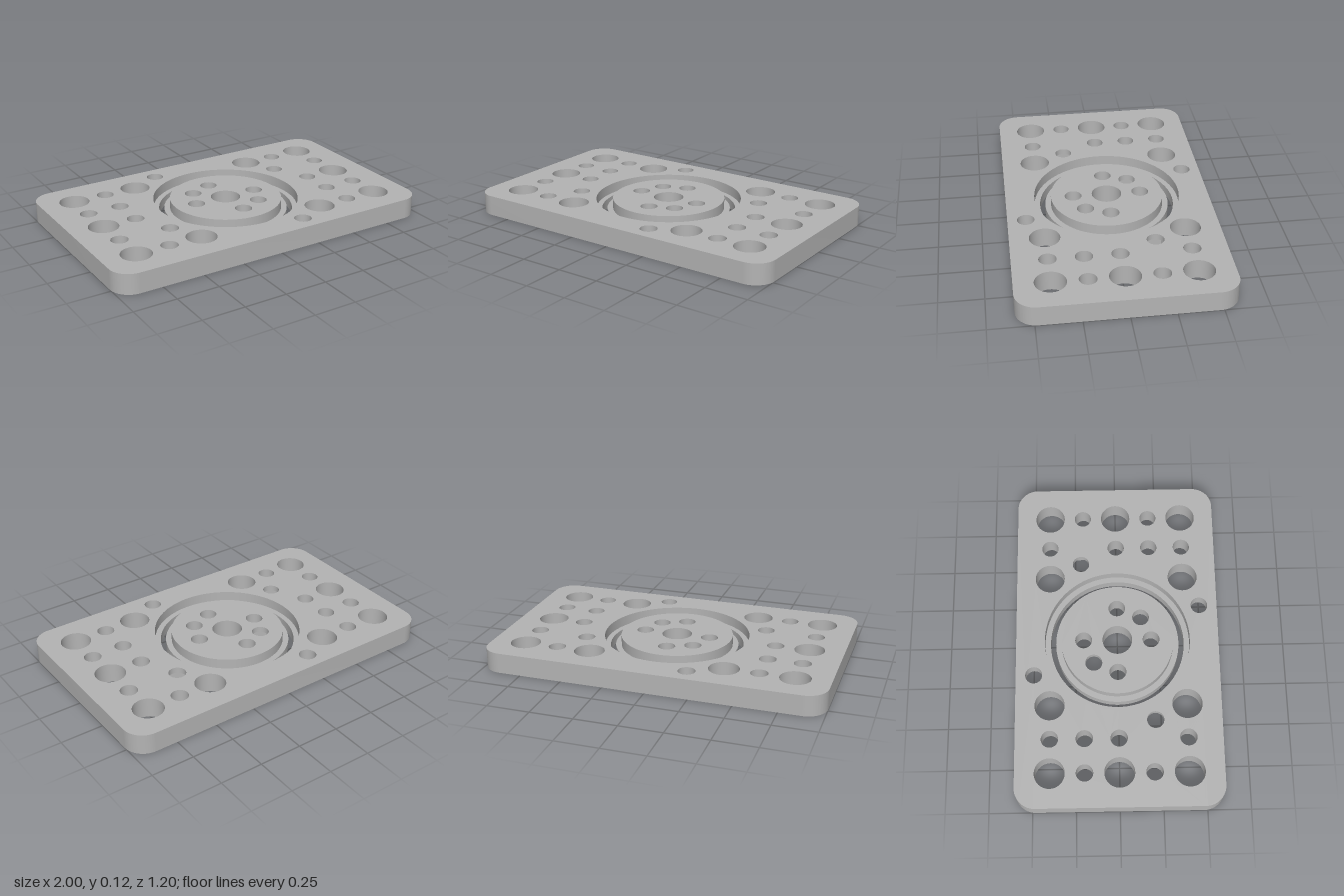
import * as THREE from 'three';
import { mergeGeometries, toCreasedNormals } from 'three/addons/utils/BufferGeometryUtils.js';

const H = 0.12;            // plate thickness
const LEDGE = 0.06;        // height of the ring-groove steps
const BIG = 0.088, SMALL = 0.05, SINK = 0.094, HEX = 0.096;
const SINK_Y = 0.045, HEX_Y = 0.085;

const circle = (r, x = 0, z = 0) => ({ x, z, r, n: r > 0.2 ? 96 : 48 });

// Points of a round or six-sided outline; s flips z for upward faces.
function outline({ x, z, r, n }, s) {
  return Array.from({ length: n }, (_, i) => {
    const a = (i / n) * Math.PI * 2;
    return new THREE.Vector2(x + r * Math.sin(a), s * (z + r * Math.cos(a)));
  });
}

// Flat face with holes, facing up or down.
function face(shape, holes, y, up) {
  const s = up ? -1 : 1;
  const f = shape instanceof THREE.Shape ? shape.clone() : new THREE.Shape(outline(shape, s));
  for (const h of holes) f.holes.push(new THREE.Path(outline(h, s)));
  return new THREE.ShapeGeometry(f, 16).rotateX(s * Math.PI / 2).translate(0, y, 0);
}

// Round wall from (r0, y0) to (r1, y1); rising faces out, falling faces in.
function wall(r0, y0, r1, y1, x = 0, z = 0, n = 48) {
  const pts = [new THREE.Vector2(r0, y0), new THREE.Vector2(r1, y1)];
  let g = new THREE.LatheGeometry(pts, n);
  if (n === 6) {
    g = g.toNonIndexed();
    g.computeVertexNormals();
  }
  return g.translate(x, 0, z);
}

function roundedRect(w, d, r) {
  const s = new THREE.Shape();
  s.moveTo(w - r, -d);
  s.absarc(w - r, -d + r, r, -Math.PI / 2, 0);
  s.absarc(w - r, d - r, r, 0, Math.PI / 2);
  s.absarc(-w + r, d - r, r, Math.PI / 2, Math.PI);
  s.absarc(-w + r, -d + r, r, Math.PI, Math.PI * 1.5);
  s.closePath();
  return s;
}

// Smooth outer rim: only the side faces of an extrusion.
function rim(shape) {
  const e = new THREE.ExtrudeGeometry(shape, { depth: H, bevelEnabled: false, curveSegments: 16 });
  const side = e.groups.find(g => g.materialIndex === 1);
  const g = new THREE.BufferGeometry();
  for (const name of ['position', 'normal', 'uv']) {
    const a = e.getAttribute(name);
    const part = a.array.slice(side.start * a.itemSize, (side.start + side.count) * a.itemSize);
    g.setAttribute(name, new THREE.BufferAttribute(part, a.itemSize));
  }
  return toCreasedNormals(g.rotateX(-Math.PI / 2), 0.6);
}

// Walls of one hole: plain, countersunk or with a hexagonal nut pocket below.
function holeWalls({ x, z, r, kind }) {
  if (kind === 'sink') return [wall(r, H, r, SINK_Y, x, z), wall(r, SINK_Y, SINK, 0, x, z)];
  if (kind === 'hex') {
    return [wall(r, H, r, HEX_Y, x, z), wall(HEX, HEX_Y, HEX, 0, x, z, 6),
      face({ x, z, r: HEX, n: 6 }, [circle(r, x, z)], HEX_Y, false)];
  }
  return [wall(r, H, r, 0, x, z)];
}

function bottomOutline(h) {
  if (h.kind === 'sink') return { ...h, r: SINK };
  if (h.kind === 'hex') return { ...h, r: HEX, n: 6 };
  return h;
}

export function createModel() {
  const gray = new THREE.MeshStandardMaterial({ color: 0xb4b4b4 });
  gray.name = 'gray';
  const model = new THREE.Group();
  model.name = 'drilledPlate';

  const add = (name, parts) => {
    const geo = mergeGeometries(parts.map(g => (g.index ? g.toNonIndexed() : g)));
    const mesh = new THREE.Mesh(geo, gray);
    mesh.name = name;
    model.add(mesh);
  };
  const special = (kind, x, z) => ({ ...circle(SMALL, x, z), kind });

  // Plate holes, repeated by a half turn about the centre
  const plateHoles = [];
  for (const s of [1, -1]) {
    for (const [x, z] of [[0.8, -0.4], [0.8, 0], [0.8, 0.4], [0.4, -0.4], [0.4, 0.4]])
      plateHoles.push(circle(BIG, s * x, s * z));
    for (const [x, z] of [[0.8, -0.2], [0.8, 0.2], [0.6, -0.4], [0.6, 0], [0.6, 0.2], [0.6, 0.4]])
      plateHoles.push(circle(SMALL, s * x, s * z));
    plateHoles.push(special('sink', s * 0.213, s * 0.494), special('hex', s * 0.494, s * -0.213));
  }

  // Outer plate with a stepped round opening
  const rect = roundedRect(1, 0.6, 0.12);
  add('plate', [
    rim(rect),
    face(rect, [circle(0.43), ...plateHoles], H, true),
    face(rect, [circle(0.397), ...plateHoles.map(bottomOutline)], 0, false),
    wall(0.43, H, 0.43, LEDGE, 0, 0, 96),
    face(circle(0.43), [circle(0.397)], LEDGE, true),
    wall(0.397, LEDGE, 0.397, 0, 0, 0, 96),
  ].concat(plateHoles.flatMap(holeWalls)));

  // Stepped centre disc, separated by the ring gap
  const discHoles = [circle(BIG)];
  for (const s of [1, -1]) discHoles.push(circle(SMALL, s * 0.2, 0), circle(SMALL, 0, s * 0.2));
  discHoles.push(special('hex', -0.141, -0.141), special('sink', 0.141, 0.141));
  add('centreDisc', [
    face(circle(0.332), discHoles, H, true),
    face(circle(0.366), discHoles.map(bottomOutline), 0, false),
    wall(0.332, LEDGE, 0.332, H, 0, 0, 96),
    face(circle(0.366), [circle(0.332)], LEDGE, true),
    wall(0.366, 0, 0.366, LEDGE, 0, 0, 96),
  ].concat(discHoles.flatMap(holeWalls)));

  return model;
}
